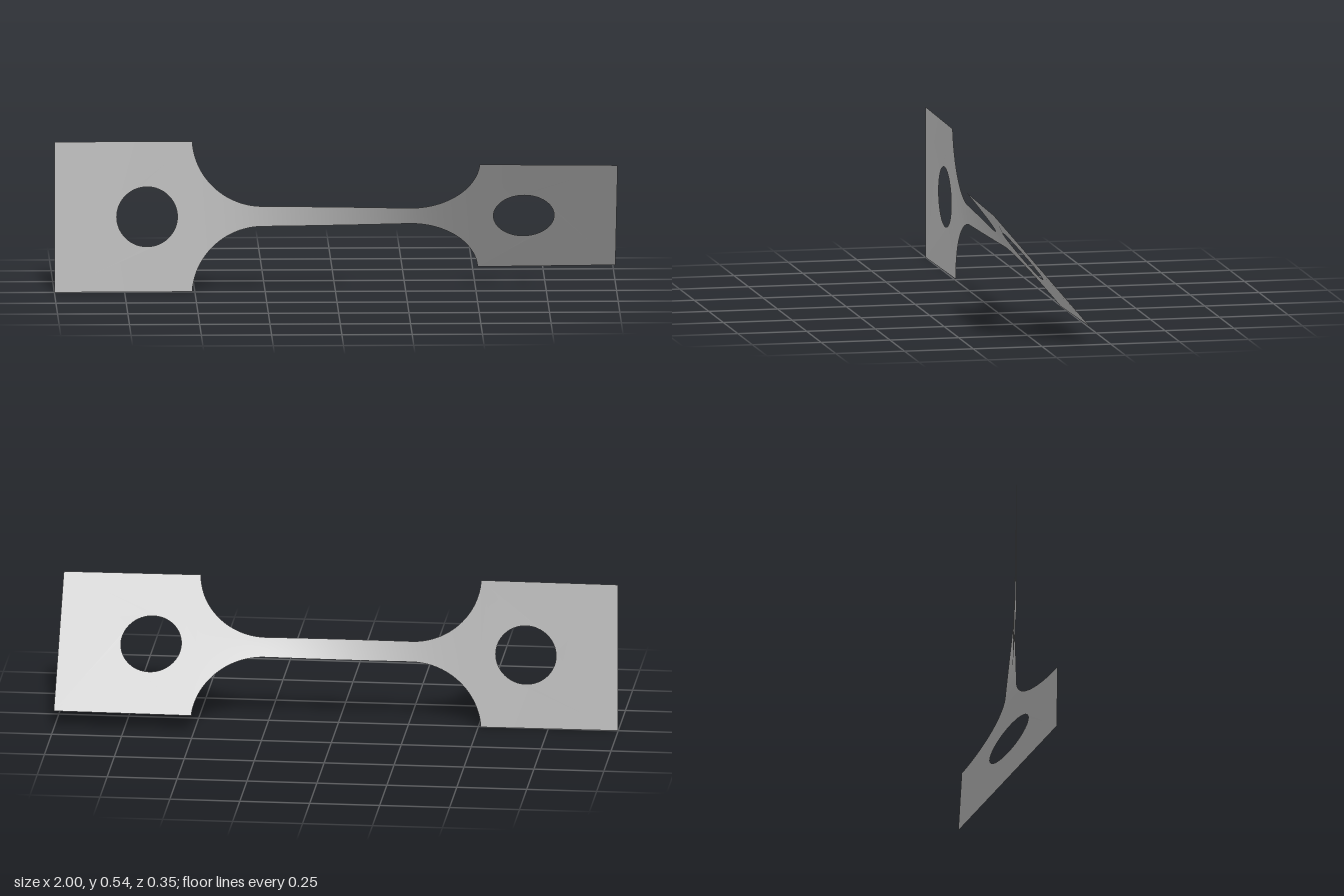
import * as THREE from 'three';

const HALF = 0.271;       // half width of the end tabs
const NECK = 0.037;       // half width of the neck
const R = 0.25;           // fillet radius
const NECK_END = 0.26;    // where the fillets begin
const TAB = 0.509;        // inner edge of the tabs
const TWIST = THREE.MathUtils.degToRad(40.3);

// Half width of the strip at x
function halfWidth(x) {
  const a = Math.abs(x);
  if (a >= TAB) return HALF;
  if (a <= NECK_END) return NECK;
  const d = a - NECK_END;
  return Math.min(HALF, NECK + R - Math.sqrt(R * R - d * d));
}

// Twist angle along x: narrow sections twist far more than wide ones
const STEPS = 1000;
const sums = [0];
for (let i = 0; i < STEPS; i++) {
  const x = -1 + (2 * (i + 0.5)) / STEPS;
  sums.push(sums[i] + Math.pow(halfWidth(x), -1.5));
}
function angle(x) {
  const t = THREE.MathUtils.clamp(((x + 1) / 2) * STEPS, 0, STEPS);
  const i = Math.min(STEPS - 1, Math.floor(t));
  return (TWIST * THREE.MathUtils.lerp(sums[i], sums[i + 1], t - i)) / sums[STEPS];
}

// Turns a flat sheet in the xy plane about the x axis
function twist(geometry) {
  const p = geometry.attributes.position;
  for (let i = 0; i < p.count; i++) {
    const x = p.getX(i), v = p.getY(i), a = angle(x);
    p.setXYZ(i, x, HALF + v * Math.cos(a), v * Math.sin(a));
  }
  geometry.computeVertexNormals();
  return geometry;
}

// Square end tab with a round hole
function tabGeometry(side) {
  const shape = new THREE.Shape();
  const a = side * TAB, b = side;
  shape.moveTo(a, -HALF);
  shape.lineTo(b, -HALF);
  shape.lineTo(b, HALF);
  shape.lineTo(a, HALF);
  shape.closePath();
  const hole = new THREE.Path();
  hole.absarc(side * 0.67, 0, 0.108, 0, Math.PI * 2, true);
  shape.holes.push(hole);
  return twist(new THREE.ShapeGeometry(shape, 32));
}

// Narrow neck with the flares at both ends
function neckGeometry() {
  const geometry = new THREE.PlaneGeometry(2, 2, 120, 8);
  const p = geometry.attributes.position;
  for (let i = 0; i < p.count; i++) {
    // denser columns towards the steep ends of the fillets
    const x = TAB * Math.sin((p.getX(i) * Math.PI) / 2);
    p.setXY(i, x, p.getY(i) * halfWidth(x));
  }
  return twist(geometry);
}

export function createModel() {
  const group = new THREE.Group();
  group.name = 'twistedStrip';
  const metal = new THREE.MeshStandardMaterial({ color: 0xc0c0c0, side: THREE.DoubleSide });
  metal.name = 'greyMetal';

  const add = (name, geometry) => {
    const mesh = new THREE.Mesh(geometry, metal);
    mesh.name = name;
    group.add(mesh);
  };
  add('rightTab', tabGeometry(-1));
  add('neck', neckGeometry());
  add('leftTab', tabGeometry(1));
  return group;
}
